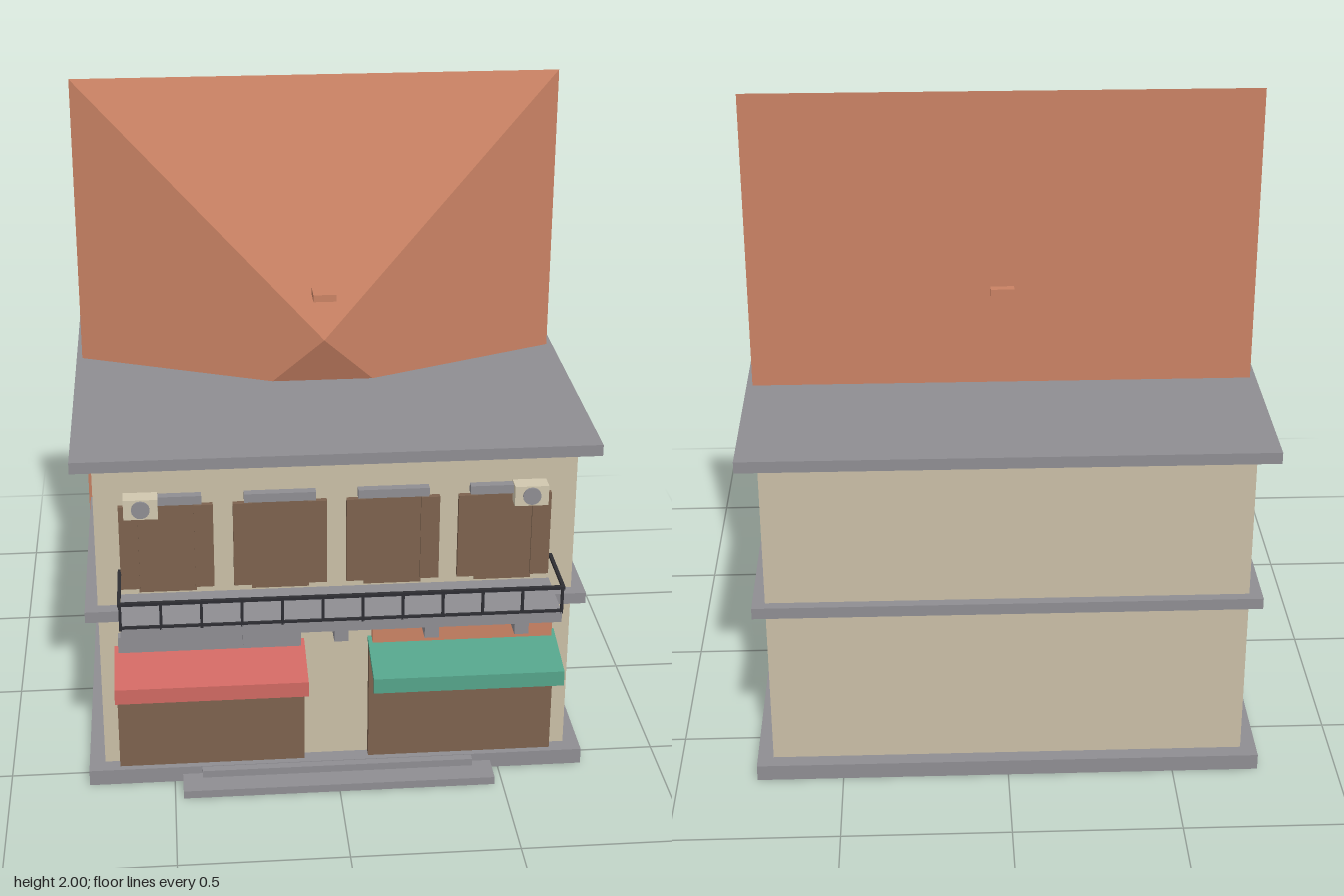
import * as THREE from 'three';

const mat = (name, color) => {
  const m = new THREE.MeshStandardMaterial({ color });
  m.name = name;
  return m;
};

export function createModel() {
  const root = new THREE.Group();
  root.name = 'shopHouse';
  const stone = mat('grey stone', 0x8e8d92);
  const plaster = mat('cream plaster', 0xc9bea6);
  const clay = mat('terracotta', 0xc98264);
  const wood = mat('brown wood', 0x7c624e);
  const red = mat('red awning', 0xcf6862);
  const green = mat('green awning', 0x54a38a);
  const iron = mat('dark iron', 0x2d2d32);
  const casing = mat('pale casing', 0xd0c7ae);

  const add = (name, geometry, material, parent = root) => {
    const mesh = new THREE.Mesh(geometry, material);
    mesh.name = name;
    parent.add(mesh);
    return mesh;
  };
  // Box given by its extents on each axis
  const box = (name, material, x0, x1, y0, y1, z0, z1, parent) => {
    const g = new THREE.BoxGeometry(x1 - x0, y1 - y0, z1 - z0);
    g.translate((x0 + x1) / 2, (y0 + y1) / 2, (z0 + z1) / 2);
    return add(name, g, material, parent);
  };

  // Walls, slabs and entrance steps
  box('base', stone, -0.76, 0.76, 0, 0.05, -0.72, 0.57);
  box('lowerStep', stone, -0.475, 0.475, 0, 0.025, 0.5, 0.665);
  box('upperStep', stone, -0.415, 0.415, 0.01, 0.048, 0.5, 0.595);
  box('walls', plaster, -0.712, 0.712, 0.05, 1.055, -0.675, 0.52);
  box('floorBand', stone, -0.75, 0.75, 0.56, 0.595, -0.705, 0.56);
  box('roofSlab', stone, -0.773, 0.773, 1.055, 1.09, -0.733, 0.578);

  // Upright four-sided roof with its point towards the front
  const roof = new THREE.ConeGeometry(0.755 * Math.SQRT2, 0.31, 4).toNonIndexed();
  roof.rotateY(Math.PI / 4);
  roof.rotateX(Math.PI / 2);
  roof.computeVertexNormals();
  roof.translate(0, 1.247, -0.075);
  add('roof', roof, clay);
  box('ridgeBeam', clay, -0.035, 0.035, 1.38, 1.402, -0.256, 0.1);

  // Balcony floor and brackets
  box('balconyFloor', stone, -0.642, 0.642, 0.597, 0.63, 0.52, 0.733);
  for (let i = -2; i <= 2; i++) {
    const x = i * 0.267;
    box('bracket', stone, x - 0.021, x + 0.021, 0.535, 0.597, 0.52, 0.685);
  }

  // Railing
  const railing = new THREE.Group();
  railing.name = 'railing';
  root.add(railing);
  box('topRail', iron, -0.648, 0.648, 0.705, 0.714, 0.723, 0.735, railing);
  box('bottomRail', iron, -0.645, 0.645, 0.63, 0.637, 0.725, 0.733, railing);
  for (const x of [-0.643, 0.643]) {
    box('sideRail', iron, x - 0.005, x + 0.005, 0.705, 0.714, 0.52, 0.735, railing);
  }
  for (let i = 0; i < 12; i++) {
    const x = -0.641 + i * 1.282 / 11;
    box('post', iron, x - 0.004, x + 0.004, 0.625, 0.71, 0.725, 0.733, railing);
  }

  // Upper windows with shutters and lintels
  for (const x of [-0.502, -0.168, 0.166, 0.498]) {
    const w = new THREE.Group();
    w.name = 'window';
    root.add(w);
    box('pane', wood, x - 0.085, x + 0.085, 0.64, 0.93, 0.515, 0.53, w);
    for (const s of [-1, 1]) {
      const c = x + s * 0.11;
      box('shutter', wood, c - 0.028, c + 0.028, 0.655, 0.923, 0.515, 0.538, w);
    }
    box('lintel', stone, x - 0.105, x + 0.105, 0.93, 0.957, 0.515, 0.547, w);
  }

  // Air conditioners with round fans
  for (const x of [-0.574, 0.57]) {
    box('airConditioner', casing, x - 0.05, x + 0.05, 0.9, 0.962, 0.515, 0.573);
    const fan = new THREE.CylinderGeometry(0.027, 0.027, 0.008, 16);
    fan.rotateX(Math.PI / 2);
    fan.translate(x, 0.932, 0.575);
    add('fan', fan, stone);
  }

  // Shop fronts: door, sign board, sloping awning with a valance
  for (const [c, sign, cloth] of [[-0.383, stone, red], [0.38, clay, green]]) {
    const shop = new THREE.Group();
    shop.name = 'shopFront';
    root.add(shop);
    box('door', wood, c - 0.283, c + 0.283, 0.05, 0.445, 0.515, 0.55, shop);
    box('signBoard', sign, c - 0.273, c + 0.273, 0.442, 0.5, 0.515, 0.552, shop);
    const profile = new THREE.Shape([
      [0.52, 0.456], [0.52, 0.44], [0.7, 0.4], [0.7, 0.366], [0.708, 0.366], [0.708, 0.414],
    ].map(([z, y]) => new THREE.Vector2(-z, y)));
    const awning = new THREE.ExtrudeGeometry(profile, { depth: 0.57, bevelEnabled: false });
    awning.rotateY(Math.PI / 2);
    awning.translate(c - 0.285, 0, 0);
    add('awning', awning, cloth, shop);
  }
  return root;
}
